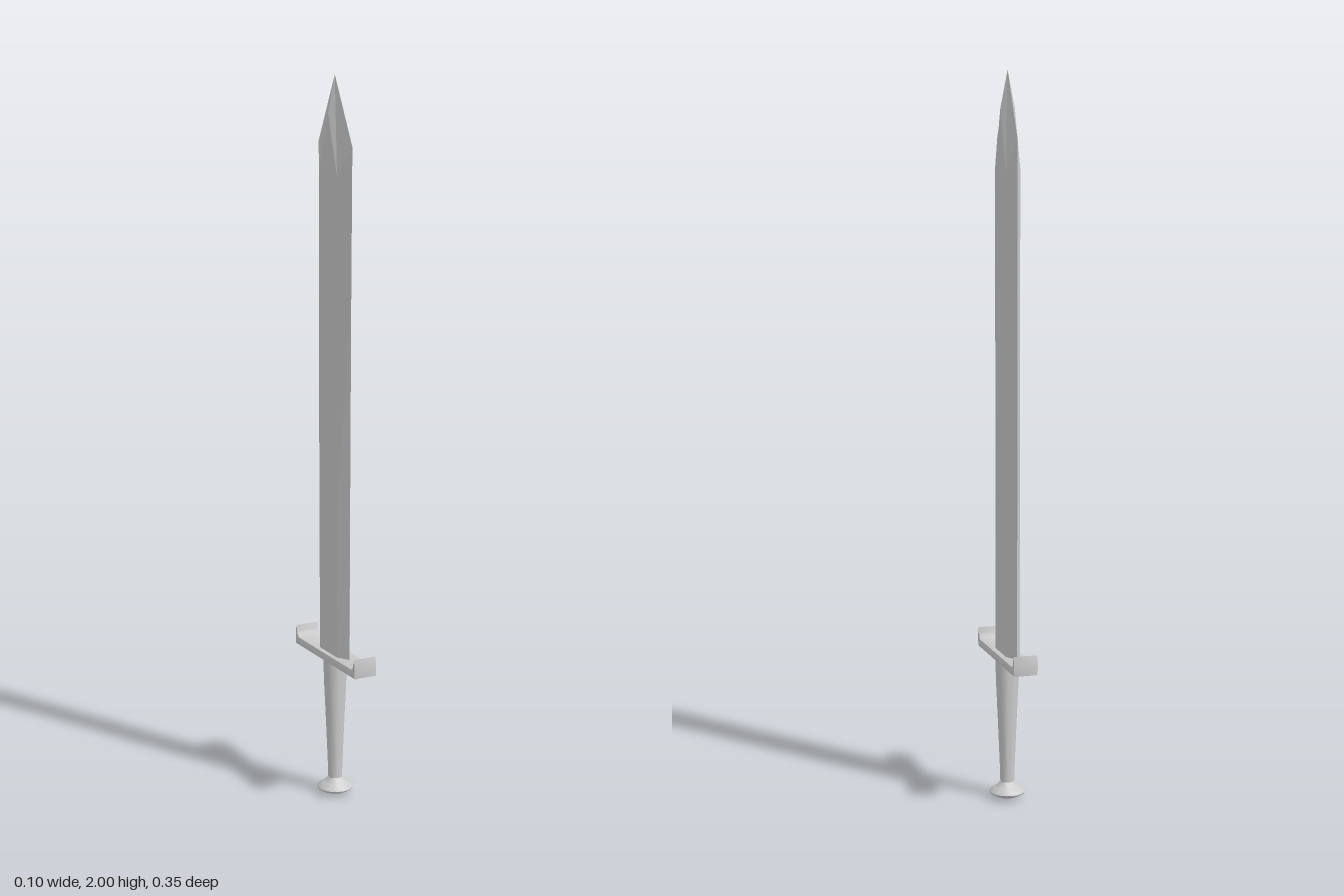
import * as THREE from 'three';
import { toCreasedNormals } from 'three/addons/utils/BufferGeometryUtils.js';

const grey = new THREE.MeshStandardMaterial({ color: 0xcccccc });
const flatGrey = new THREE.MeshStandardMaterial({ color: 0xcccccc, flatShading: true });

function part(name, geometry, material = grey) {
  const mesh = new THREE.Mesh(geometry, material);
  mesh.name = name;
  return mesh;
}

// Blade: eight-point rings (edge, bevel corner, flat centre, ...) closing to a tip
function bladeGeometry() {
  const cx = -0.001, half = 0.02, corner = 0.05;
  // heights of [cutting edge, bevel corner, flat centre] and z of both edges
  const rings = [
    { y: [0.40, 0.40, 0.40], front: 0.085, back: -0.088 },
    { y: [0.85, 0.85, 0.85], front: 0.088, back: -0.091 },
    { y: [1.40, 1.40, 1.40], front: 0.092, back: -0.091 },
    { y: [1.82, 1.74, 1.90], front: 0.097, back: -0.091 },
  ];
  const pos = [], index = [], n = 8;
  for (const { y: [edge, bevel, mid], front, back } of rings) {
    pos.push(
      cx, edge, front, cx + half, bevel, corner, cx + half, mid, 0, cx + half, bevel, -corner,
      cx, edge, back, cx - half, bevel, -corner, cx - half, mid, 0, cx - half, bevel, corner);
  }
  const last = (rings.length - 1) * n;
  const tip = pos.length / 3;
  pos.push(cx, 2, 0);
  for (let i = 0; i < n; i++) {
    const j = (i + 1) % n;
    for (let a = 0; a < last; a += n) {
      index.push(a + i, a + j, a + n + j, a + i, a + n + j, a + n + i);
    }
    index.push(last + i, last + j, tip);
    if (i > 0 && i < n - 1) index.push(0, i + 1, i);
  }
  const geo = new THREE.BufferGeometry();
  geo.setAttribute('position', new THREE.Float32BufferAttribute(pos, 3));
  geo.setIndex(index);
  geo.computeVertexNormals();
  return geo;
}

// Crossguard: side profile with upturned pointed ends, extruded across x
function guardGeometry() {
  const bevel = 0.003;
  const s = new THREE.Shape();
  s.moveTo(-0.171, 0.396);
  s.lineTo(0.171, 0.396);
  s.lineTo(0.173, 0.418);
  s.lineTo(0.170, 0.443);
  s.quadraticCurveTo(0.167, 0.414, 0.153, 0.413);
  s.lineTo(-0.153, 0.413);
  s.quadraticCurveTo(-0.167, 0.414, -0.170, 0.443);
  s.lineTo(-0.173, 0.418);
  s.closePath();
  const depth = 0.068 - 2 * bevel;
  const geo = new THREE.ExtrudeGeometry(s, {
    depth, bevelEnabled: true, bevelSize: bevel, bevelThickness: bevel, bevelSegments: 2, curveSegments: 5,
  });
  geo.translate(0, 0, -depth / 2);
  geo.rotateY(-Math.PI / 2);
  return toCreasedNormals(geo, 0.6);
}

function turned(profile) {
  const points = profile.map(([r, y]) => new THREE.Vector2(r, y));
  return toCreasedNormals(new THREE.LatheGeometry(points, 24), 0.5);
}

export function createModel() {
  const sword = new THREE.Group();
  sword.name = 'sword';
  sword.add(part('blade', bladeGeometry(), flatGrey));
  sword.add(part('crossguard', guardGeometry()));

  // Tapering grip
  sword.add(part('grip', turned([
    [0, 0.035], [0.019, 0.035], [0.021, 0.10], [0.026, 0.22], [0.031, 0.33], [0.033, 0.40], [0, 0.40],
  ])));

  // Flared disc pommel
  sword.add(part('pommel', turned([
    [0, 0], [0.022, 0.002], [0.035, 0.007], [0.048, 0.014], [0.05, 0.018],
    [0.047, 0.023], [0.034, 0.032], [0.024, 0.041], [0.02, 0.047], [0, 0.047],
  ])));
  return sword;
}
